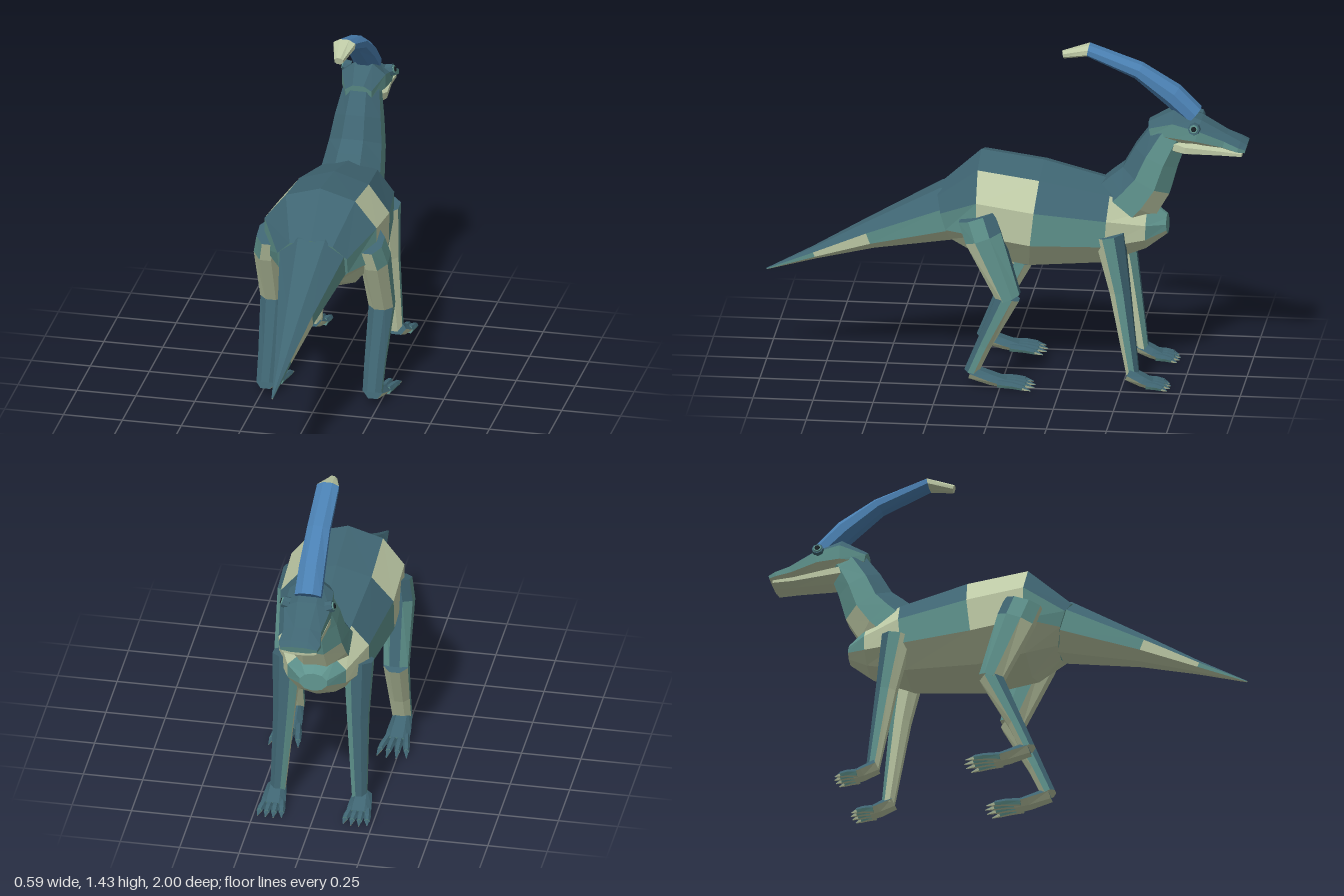
import * as THREE from 'three';

const mat = (name, color) => {
  const m = new THREE.MeshStandardMaterial({ color, flatShading: true });
  m.name = name;
  return m;
};

export function createModel() {
  const model = new THREE.Group();
  model.name = 'crestedDinosaur';
  const mats = [
    mat('darkBack', 0x3f6572), mat('tealFlank', 0x5f938d), mat('creamBelly', 0xbecaa6),
    mat('crestBlue', 0x4a80b2), mat('eyeBlack', 0x182024),
  ];
  const DARK = 0, TEAL = 1, CREAM = 2, BLUE = 3, BLACK = 4;

  // Countershading: dark where a face looks up, cream where it looks down
  const shade = (up = 0.3, down = up) => (ny) => (ny > up ? DARK : ny < -down ? CREAM : TEAL);

  // Loft of rings across a path; each section is [x, y, z, half width, half height].
  // pick(ny, row, angle) returns a colour index; row -1 marks the end caps.
  function loft(name, sections, n, pick, parent = model, offset = 0) {
    const centres = sections.map((s) => new THREE.Vector3(s[0], s[1], s[2]));
    const X = new THREE.Vector3(1, 0, 0);
    const rings = sections.map((s, i) => {
      const t = centres[Math.min(i + 1, centres.length - 1)].clone().sub(centres[Math.max(i - 1, 0)]);
      t.x = 0;
      const up = X.clone().cross(t.normalize());
      return Array.from({ length: n }, (_, j) => {
        const a = ((j + offset) / n) * Math.PI * 2;
        return centres[i].clone().addScaledVector(X, s[3] * Math.sin(a)).addScaledVector(up, s[4] * Math.cos(a));
      });
    });
    const buckets = mats.map(() => []);
    const normal = (a, b, c) => b.clone().sub(a).cross(c.clone().sub(a)).normalize();
    const last = rings.length - 1;
    for (let j = 0; j < n; j++) {
      const k = (j + 1) % n;
      const angle = ((j + 0.5 + offset) / n) * 360;
      for (let i = 0; i < last; i++) {
        const [p, q, r, s] = [rings[i][j], rings[i][k], rings[i + 1][k], rings[i + 1][j]];
        const ny = r.clone().sub(p).cross(s.clone().sub(q)).normalize().y;
        buckets[pick(ny, i, angle)].push(p, q, s, q, r, s);
      }
      const a = [centres[0], rings[0][k], rings[0][j]];
      const b = [centres[last], rings[last][j], rings[last][k]];
      for (const tri of [a, b]) buckets[pick(normal(...tri).y, -1, angle)].push(...tri);
    }
    const geo = new THREE.BufferGeometry();
    geo.setFromPoints(buckets.flat());
    let start = 0;
    buckets.forEach((b, i) => {
      if (b.length) geo.addGroup(start, b.length, i);
      start += b.length;
    });
    geo.computeVertexNormals();
    const mesh = new THREE.Mesh(geo, mats);
    mesh.name = name;
    parent.add(mesh);
    return mesh;
  }

  const base = shade();
  const flank = (angle, from, to) => {
    const a = angle > 180 ? 360 - angle : angle;
    return a > from && a < to;
  };

  // Torso with cream patches on hip and shoulder
  loft('body', [
    [0, 0.69, 0.25, 0.155, 0.12],
    [0, 0.735, 0.10, 0.25, 0.23],
    [0, 0.7, -0.13, 0.25, 0.23],
    [0, 0.675, -0.43, 0.2, 0.18],
    [0, 0.665, -0.59, 0.13, 0.1],
    [0, 0.67, -0.67, 0.06, 0.04],
  ], 10, (ny, row, angle) => {
    if (row === 1 && flank(angle, 36, 108)) return CREAM;
    if (row === 3 && flank(angle, 36, 150)) return CREAM;
    if (row === 4) return ny < -0.45 ? CREAM : TEAL;
    return base(ny);
  });

  // Tail with a cream band on each side
  loft('tail', [
    [0, 0.405, 1.0, 0.003, 0.003],
    [0, 0.485, 0.8, 0.036, 0.026],
    [0, 0.578, 0.57, 0.08, 0.062],
    [0, 0.695, 0.24, 0.15, 0.125],
    [0, 0.71, 0.15, 0.16, 0.13],
  ], 8, (ny, row, angle) => (row === 1 && flank(angle, 60, 120) ? CREAM : base(ny)), model, 0.5);

  // Neck
  loft('neck', [
    [0, 0.74, -0.47, 0.14, 0.14],
    [0, 0.8, -0.53, 0.13, 0.135],
    [0, 0.87, -0.585, 0.12, 0.12],
    [0, 0.97, -0.625, 0.105, 0.105],
    [0, 1.06, -0.675, 0.085, 0.09],
    [0, 1.11, -0.72, 0.07, 0.07],
  ], 8, base, model, 0.5);

  // Head: skull with flat bill, and the lower jaw
  const head = new THREE.Group();
  head.name = 'head';
  model.add(head);
  loft('skull', [
    [0, 1.085, -0.6, 0.06, 0.04],
    [0, 1.105, -0.7, 0.1, 0.08],
    [0, 1.087, -0.8, 0.105, 0.06],
    [0, 1.05, -0.91, 0.085, 0.035],
    [0, 1.03, -0.97, 0.095, 0.025],
    [0, 1.022, -1.0, 0.085, 0.016],
  ], 8, base, head, 0.5);
  loft('lowerJaw', [
    [0, 1.035, -0.68, 0.08, 0.04],
    [0, 1.02, -0.75, 0.095, 0.035],
    [0, 1.008, -0.9, 0.078, 0.022],
    [0, 1.003, -0.985, 0.08, 0.015],
  ], 8, () => CREAM, head, 0.5);

  // Long swept-back crest with a cream tip
  loft('crest', [
    [0, 1.15, -0.78, 0.06, 0.045],
    [0, 1.235, -0.69, 0.058, 0.05],
    [0, 1.335, -0.55, 0.052, 0.036],
    [0, 1.418, -0.34, 0.05, 0.027],
    [0, 1.392, -0.235, 0.02, 0.017],
  ].reverse(), 8, (ny, row) => (row === 0 ? CREAM : row < 0 && ny < 0.5 && ny > -0.6 ? CREAM : BLUE), head, 0.5);

  // Eyes: stacked round plates
  for (const s of [-1, 1]) {
    const eye = new THREE.Group();
    eye.name = s > 0 ? 'leftEye' : 'rightEye';
    [['eyelid', 0.027, 0.03, DARK, 0], ['iris', 0.019, 0.006, TEAL, 0.017], ['pupil', 0.012, 0.006, BLACK, 0.021]]
      .forEach(([name, r, h, colour, out]) => {
        const m = new THREE.Mesh(new THREE.CylinderGeometry(r * 0.9, r, h, 8), mats[colour]);
        m.name = name;
        m.position.y = out;
        eye.add(m);
      });
    eye.position.set(s * 0.092, 1.118, -0.79);
    eye.rotation.z = -s * 1.3;
    head.add(eye);
  }

  // Foot with four spread toes, each ending in a claw
  function foot(parent, x, z, len, spread) {
    loft('footPad', [
      [x, 0.07, z + 0.01, 0.04, 0.03],
      [x, 0.042, z - len * 0.3, 0.05, 0.026],
      [x, 0.028, z - len * 0.52, 0.052, 0.02],
    ], 6, shade(0.25, 0.4), parent, 0.5);
    for (let i = 0; i < 4; i++) {
      const f = (i - 1.5) / 1.5;
      const reach = len * (1 - 0.07 * Math.abs(f));
      const at = (k) => [x + f * (0.035 + (spread - 0.035) * k), z - len * 0.4 - (reach - len * 0.4) * k];
      const [a, b, c, d] = [0, 0.45, 0.75, 1].map(at);
      loft('toe', [
        [a[0], 0.032, a[1], 0.016, 0.018],
        [b[0], 0.03, b[1], 0.016, 0.015],
        [c[0], 0.024, c[1], 0.012, 0.012],
      ], 6, shade(0.25, 0.6), parent, 0.5);
      loft('claw', [
        [c[0], 0.023, c[1], 0.011, 0.011],
        [d[0], 0.014, d[1], 0.002, 0.002],
      ], 5, (ny) => (ny > 0.2 ? DARK : CREAM), parent);
    }
  }

  // Mirrored legs
  for (const s of [-1, 1]) {
    const side = s > 0 ? 'left' : 'right';
    const hind = new THREE.Group();
    hind.name = side + 'HindLeg';
    const fore = new THREE.Group();
    fore.name = side + 'FrontLeg';
    model.add(hind, fore);

    loft('thigh', [
      [s * 0.21, 0.745, 0.1, 0.06, 0.085],
      [s * 0.225, 0.66, 0.07, 0.064, 0.085],
      [s * 0.23, 0.4, -0.035, 0.056, 0.054],
    ], 8, shade(0.22), hind, 0.5);
    loft('shin', [
      [s * 0.23, 0.41, -0.035, 0.056, 0.052],
      [s * 0.225, 0.19, 0.07, 0.047, 0.035],
      [s * 0.225, 0.07, 0.122, 0.043, 0.032],
    ], 8, shade(0.22), hind, 0.5);
    foot(hind, s * 0.228, 0.115, 0.265, 0.062);

    loft('frontLimb', [
      [s * 0.15, 0.665, -0.445, 0.065, 0.066],
      [s * 0.155, 0.42, -0.49, 0.048, 0.046],
      [s * 0.172, 0.06, -0.545, 0.033, 0.028],
    ], 8, shade(0.06), fore, 0.5);
    foot(fore, s * 0.18, -0.535, 0.17, 0.05);
  }
  return model;
}
